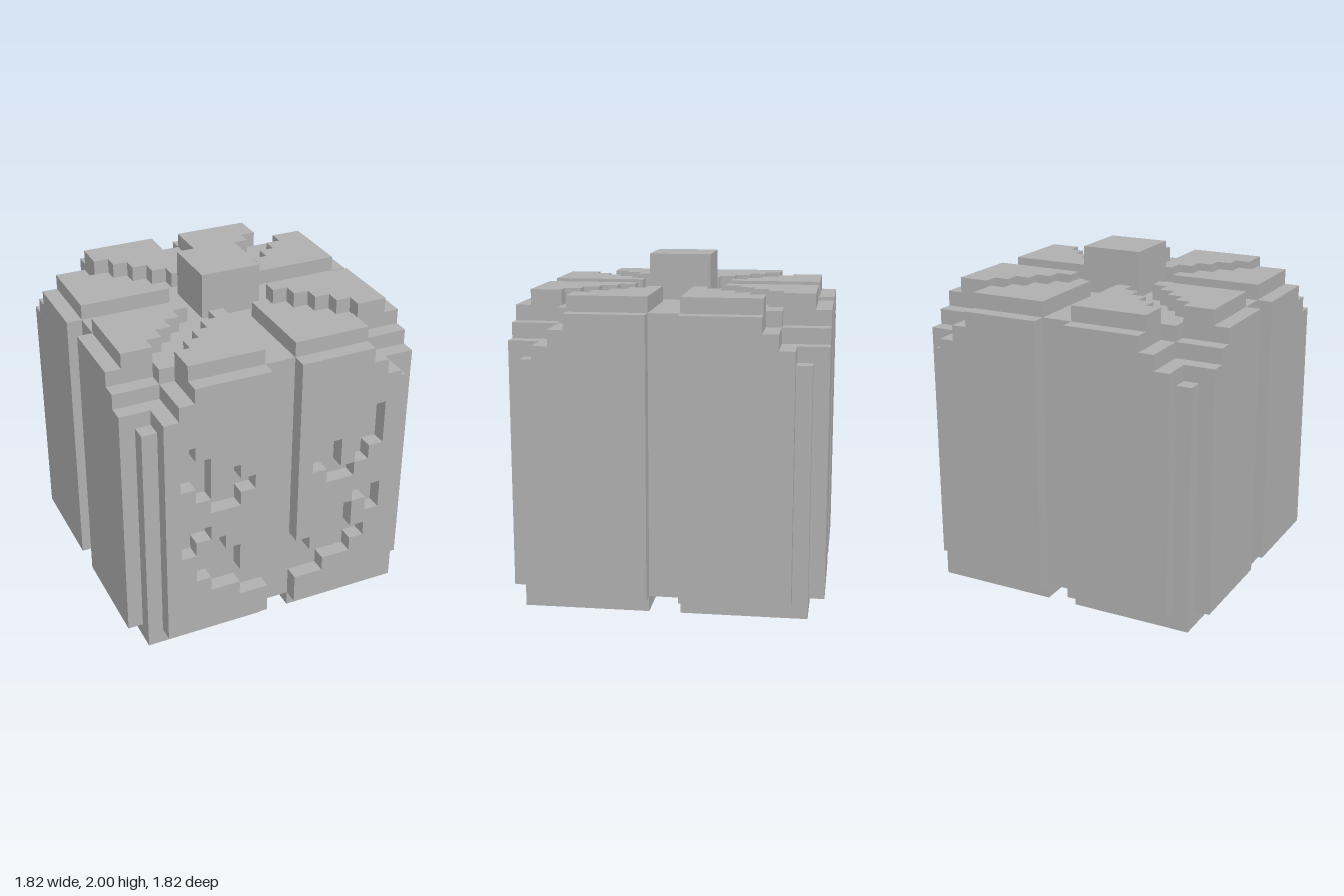
import * as THREE from 'three';

const U = 1 / 11; // one block

export function createModel() {
  const model = new THREE.Group();
  model.name = 'carvedPumpkin';
  const grey = new THREE.MeshStandardMaterial({ color: 0xb0b0b0 });
  grey.name = 'grey';

  const add = (parent, name, geometry) => {
    const mesh = new THREE.Mesh(geometry, grey);
    mesh.name = name;
    parent.add(mesh);
    return mesh;
  };

  // Box given by its limits in blocks
  const box = (parent, name, x0, x1, y0, y1, z0, z1) => {
    const g = new THREE.BoxGeometry(x1 - x0, y1 - y0, z1 - z0);
    g.translate((x0 + x1) / 2, (y0 + y1) / 2, (z0 + z1) / 2);
    g.scale(U, U, U);
    return add(parent, name, g);
  };

  // Horizontal slab with an outline of [x, z] points in blocks
  const slab = (parent, name, points, y0, y1) => {
    const shape = new THREE.Shape(points.map(([x, z]) => new THREE.Vector2(x, -z)));
    const g = new THREE.ExtrudeGeometry(shape, { depth: y1 - y0, bevelEnabled: false });
    g.rotateX(-Math.PI / 2);
    g.translate(0, y0, 0);
    g.scale(U, U, U);
    return add(parent, name, g);
  };

  // Core, with vertical corners that step in towards the top
  box(model, 'core', -9, 9, 1, 16, -9, 9);
  const corners = [
    [[9, 8], [8, 8], [8, 9]],
    [[9, 7], [7, 7], [7, 9]],
    [[9, 6], [7, 6], [7, 7], [6, 7], [6, 9]],
  ];
  corners.forEach((corner, i) => {
    const outline = [];
    let quarter = corner;
    for (let k = 0; k < 4; k++) {
      outline.push(...quarter);
      quarter = quarter.map(([x, z]) => [-z, x]);
    }
    slab(model, 'coreStep', outline, 16 + i, 17 + i);
  });

  // Four feet separated by a cross-shaped groove
  for (const x of [-9, 1]) {
    for (const z of [-9, 1]) box(model, 'foot', x, x + 8, 0, 1, z, z + 8);
  }

  // Stem
  box(model, 'stem', -2, 2, 19, 22, -2, 2);

  // Solid [bottom, top] runs per column of the carved front, from the middle outwards
  const carvedRuns = [
    [[1, 3], [6, 19]],
    [[1, 3], [5, 11], [12, 19]],
    [[1, 4], [7, 10], [13, 19]],
    [[1, 4], [8, 10], [11, 19]],
    [[1, 5], [6, 8], [9, 11], [14, 19]],
    [[1, 7], [9, 12], [15, 18]],
    [[1, 17]],
  ];

  // Stepped outline of one top rib
  const rib = [[1, 9]];
  for (let i = 1; i <= 5; i++) rib.push([i, i + 2], [i + 1, i + 2]);
  rib.push([6, 9]);

  // Four sides, each with two wall panels and two top ribs
  ['front', 'left', 'back', 'right'].forEach((name, k) => {
    const side = new THREE.Group();
    side.name = name + 'Side';
    side.rotation.y = k * Math.PI / 2;
    model.add(side);
    for (const s of [1, -1]) {
      const panel = (x0, x1, y0, y1) =>
        box(side, k ? 'panel' : 'carvedPanel', Math.min(s * x0, s * x1), Math.max(s * x0, s * x1), y0, y1, 9, 10);
      if (k === 0) {
        carvedRuns.forEach((runs, i) => runs.forEach(([y0, y1]) => panel(i + 1, i + 2, y0, y1)));
      } else {
        panel(1, 6, 1, 19);
        panel(6, 7, 1, 18);
        panel(7, 8, 1, 17);
      }
      slab(side, 'topRib', rib.map(([x, z]) => [s * x, z]), 19, 20);
    }
  });

  return model;
}
